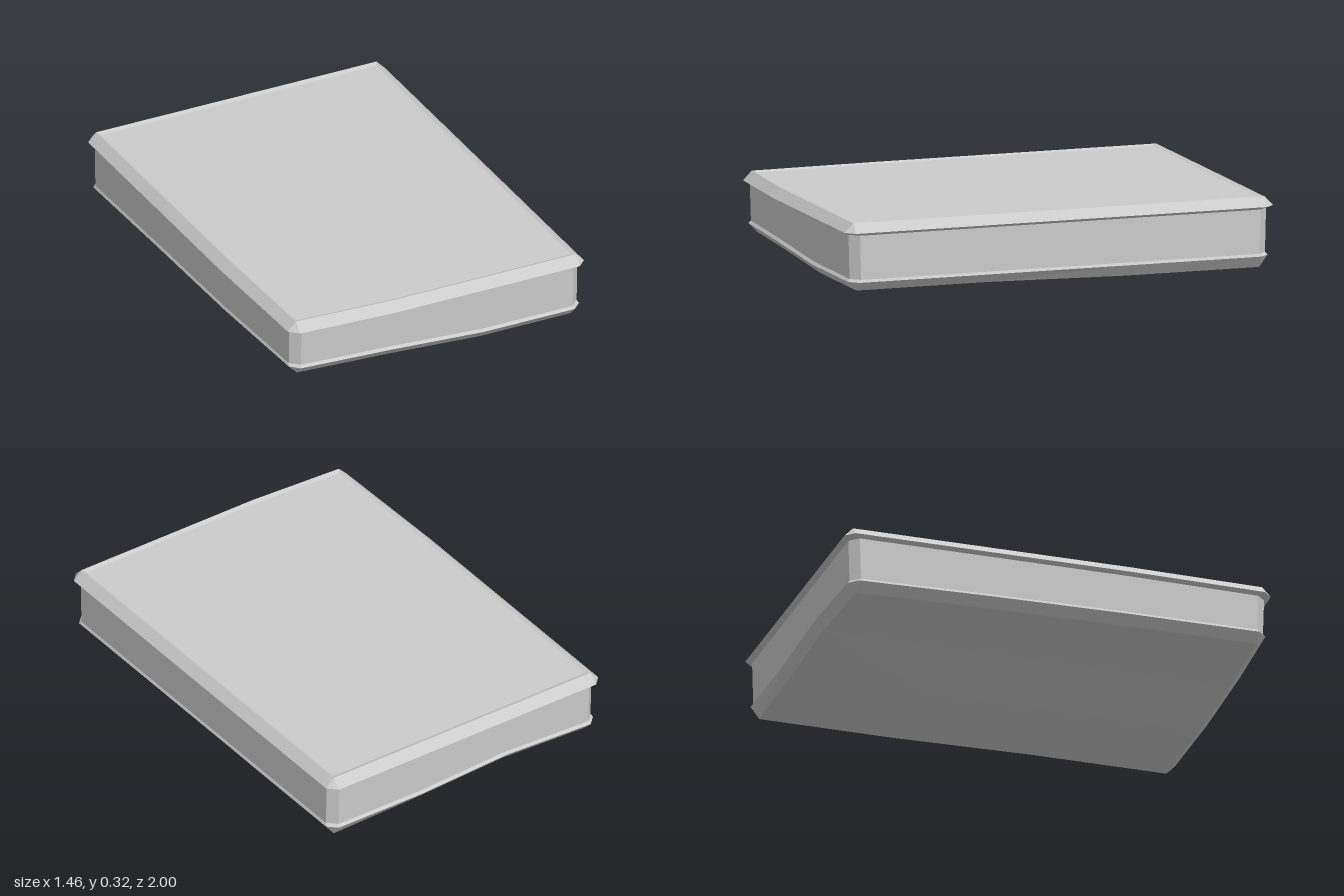
import * as THREE from 'three';

const { clamp, lerp } = THREE.MathUtils;
const STEPS = [0, 1 / 3, 2 / 3, 1];

// Height of the sagging underside: rows run back to front, columns -x to +x
const SAG = [
  [0.015, 0.035, 0.012, 0],
  [0.028, 0.036, 0.012, 0],
  [0.036, 0.04, 0.012, 0.012],
  [0.045, 0.04, 0.012, 0.012],
];
function sag(x, z) {
  const u = clamp((x / 0.675 + 1) * 1.5, 0, 3), v = clamp((z / 0.94 + 1) * 1.5, 0, 3);
  const i = Math.min(2, Math.floor(u)), j = Math.min(2, Math.floor(v));
  return lerp(
    lerp(SAG[j][i], SAG[j][i + 1], u - i),
    lerp(SAG[j + 1][i], SAG[j + 1][i + 1], u - i),
    v - j
  );
}

// Place a point, pulling the front -x corner slightly inward
function place(x, z, height) {
  const f = clamp((-x - 0.23) / 0.45, 0, 1) * clamp((z - 0.33) / 0.61, 0, 1);
  return [x + 0.015 * f, height(x, z), z - 0.025 * f];
}

// Closed rectangular ring with corners cut by c, four points per side
function ring(hw, hd, c, height) {
  const a = hw - c, b = hd - c, points = [];
  const side = (x0, z0, x1, z1) =>
    STEPS.forEach((t) => points.push(place(lerp(x0, x1, t), lerp(z0, z1, t), height)));
  side(hw, b, hw, -b);
  side(a, -hd, -a, -hd);
  side(-hw, -b, -hw, b);
  side(-a, hd, a, hd);
  return points;
}

const material = new THREE.MeshStandardMaterial({ color: 0xcccccc, flatShading: true });

function makeMesh(name, triangles) {
  const geometry = new THREE.BufferGeometry();
  geometry.setAttribute('position', new THREE.Float32BufferAttribute(triangles.flat(), 3));
  geometry.computeVertexNormals();
  const mesh = new THREE.Mesh(geometry, material);
  mesh.name = name;
  return mesh;
}

// Skin between rings, listed from the lower one to the upper one
function band(name, rings) {
  const out = [];
  for (let r = 0; r < rings.length - 1; r++) {
    const lo = rings[r], up = rings[r + 1], n = lo.length;
    for (let i = 0; i < n; i++) {
      const k = (i + 1) % n;
      out.push(lo[i], lo[k], up[k], lo[i], up[k], up[i]);
    }
  }
  return makeMesh(name, out);
}

// Flat or sagging sheet closing the top or the bottom
function panel(name, hw, hd, height, facingUp) {
  const out = [];
  const at = (i, j) => place(lerp(-hw, hw, i / 3), lerp(-hd, hd, j / 3), height);
  for (let j = 0; j < 3; j++) {
    for (let i = 0; i < 3; i++) {
      const a = at(i, j), b = at(i, j + 1), c = at(i + 1, j + 1), d = at(i + 1, j);
      out.push(...(facingUp ? [a, b, c, a, c, d] : [a, c, b, a, d, c]));
    }
  }
  return makeMesh(name, out);
}

export function createModel() {
  const model = new THREE.Group();
  model.name = 'mattress';

  const level = (y) => () => y;
  const aboveSag = (dy) => (x, z) => Math.max(0.012, sag(x, z)) + dy;

  const wallBottom = ring(0.71, 0.97, 0.04, aboveSag(0.053));
  const wallTop = ring(0.71, 0.975, 0.04, level(0.262));

  model.add(
    panel('bottomPanel', 0.675, 0.94, sag, false),
    // Lower edge piping
    band('bottomPiping', [
      ring(0.675, 0.94, 0, sag),
      ring(0.716, 0.98, 0.04, aboveSag(0.041)),
      wallBottom,
    ]),
    band('sideWall', [wallBottom, wallTop]),
    // Upper edge piping, dipping inward to the top panel
    band('topPiping', [
      wallTop,
      ring(0.73, 1, 0.04, level(0.275)),
      ring(0.69, 0.96, 0, level(0.316)),
      ring(0.677, 0.94, 0, level(0.309)),
    ]),
    panel('topPanel', 0.677, 0.94, level(0.309), true)
  );
  return model;
}
